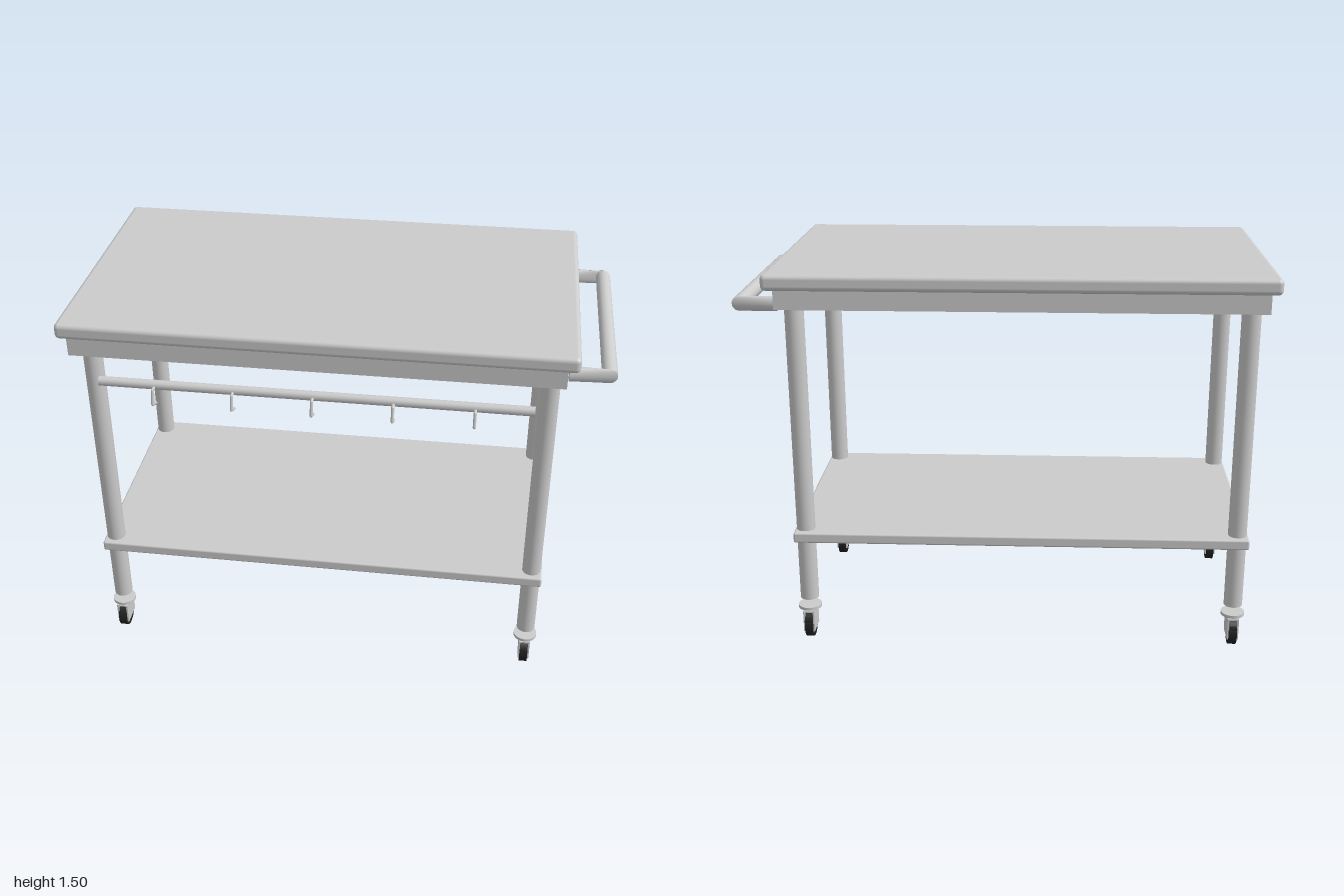
import * as THREE from 'three';
import { RoundedBoxGeometry } from 'three/addons/geometries/RoundedBoxGeometry.js';

const grey = new THREE.MeshStandardMaterial({ color: 0xcccccc });
const greyDouble = new THREE.MeshStandardMaterial({ color: 0xcccccc, side: THREE.DoubleSide });
const dark = new THREE.MeshStandardMaterial({ color: 0x222222 });

function add(parent, name, geometry, x, y, z, material = grey) {
  const mesh = new THREE.Mesh(geometry, material);
  mesh.name = name;
  mesh.position.set(x, y, z);
  parent.add(mesh);
  return mesh;
}

// Box given by its limits on each axis, optionally with rounded edges
function slab(parent, name, [x0, x1], [y0, y1], [z0, z1], radius = 0, material = grey) {
  const size = [x1 - x0, y1 - y0, z1 - z0];
  const geometry = radius ? new RoundedBoxGeometry(...size, 4, radius) : new THREE.BoxGeometry(...size);
  return add(parent, name, geometry, (x0 + x1) / 2, (y0 + y1) / 2, (z0 + z1) / 2, material);
}

// Round rod between two points, as a geometry along x when rotated
function rod(parent, name, a, b, radius, sides) {
  const from = new THREE.Vector3(...a), to = new THREE.Vector3(...b);
  const dir = to.clone().sub(from);
  const mid = from.clone().add(to).multiplyScalar(0.5);
  const mesh = add(parent, name, new THREE.CylinderGeometry(radius, radius, dir.length(), sides), mid.x, mid.y, mid.z);
  mesh.quaternion.setFromUnitVectors(new THREE.Vector3(0, 1, 0), dir.normalize());
  return mesh;
}

// Tube wall between two rings; each ring has a centre and a sideways direction
function ringLoft(a, b, radius, sides) {
  const positions = [], index = [];
  for (let i = 0; i <= sides; i++) {
    const t = (i / sides) * Math.PI * 2;
    for (const { c, side } of [a, b]) {
      positions.push(c[0] + side[0] * radius * Math.cos(t), c[1] + radius * Math.sin(t), c[2] + side[1] * radius * Math.cos(t));
    }
    if (i < sides) {
      const k = i * 2;
      index.push(k, k + 2, k + 1, k + 1, k + 2, k + 3);
    }
  }
  const geometry = new THREE.BufferGeometry();
  geometry.setAttribute('position', new THREE.Float32BufferAttribute(positions, 3));
  geometry.setIndex(index);
  geometry.computeVertexNormals();
  return geometry;
}

function createHandle() {
  const handle = new THREE.Group();
  handle.name = 'pushHandle';
  const y = 1.363, r = 0.028;
  const rings = [
    { c: [0.83, y, -0.397], side: [0, 1] },
    { c: [0.972, y, -0.402], side: [-1, 0] },
    { c: [0.972, y, 0.383], side: [-1, 0] },
    { c: [0.83, y, 0.382], side: [0, -1] },
  ];
  ['handleArmBack', 'handleGrip', 'handleArmFront'].forEach((name, i) =>
    add(handle, name, ringLoft(rings[i], rings[i + 1], r, 24), 0, 0, 0, greyDouble));
  // Closed arm ends
  for (const { c } of [rings[0], rings[3]]) {
    add(handle, 'handleEnd', new THREE.CircleGeometry(r, 24), ...c, greyDouble).rotation.y = -Math.PI / 2;
  }
  return handle;
}

function createCaster() {
  const caster = new THREE.Group();
  caster.name = 'caster';
  add(caster, 'casterDisc', new THREE.CylinderGeometry(0.046, 0.046, 0.012, 24), 0, 0.133, 0);
  add(caster, 'casterSwivel', new THREE.CylinderGeometry(0.02, 0.02, 0.012, 16), 0, 0.123, 0);
  slab(caster, 'forkTop', [-0.022, 0.022], [0.118, 0.124], [-0.046, 0.046]);
  for (const s of [-1, 1]) {
    add(caster, 'forkPlate', new THREE.BoxGeometry(0.006, 0.086, 0.092), s * 0.019, 0.079, 0);
  }
  add(caster, 'wheel', new THREE.CylinderGeometry(0.058, 0.058, 0.031, 28), 0, 0.058, 0, dark).rotation.z = Math.PI / 2;
  slab(caster, 'brakePedal', [-0.013, 0.013], [0.088, 0.094], [-0.071, -0.04], 0, dark);
  return caster;
}

export function createModel() {
  const cart = new THREE.Group();
  cart.name = 'kitchenCart';

  // Worktop, long rails under it and lower shelf
  slab(cart, 'worktop', [-1, 0.86], [1.44, 1.5], [-0.542, 0.522], 0.018);
  slab(cart, 'railFront', [-0.964, 0.82], [1.367, 1.442], [0.468, 0.5]);
  slab(cart, 'railBack', [-0.964, 0.82], [1.367, 1.442], [-0.515, -0.484]);
  slab(cart, 'lowerShelf', [-0.953, 0.809], [0.425, 0.467], [-0.464, 0.448], 0.008);

  // Four legs, each with a caster below
  for (const x of [-0.912, 0.768]) {
    for (const z of [-0.407, 0.392]) {
      add(cart, 'leg', new THREE.CylinderGeometry(0.036, 0.036, 1.207, 28), x, 0.7735, z);
      const caster = createCaster();
      caster.position.set(x, 0, z);
      cart.add(caster);
    }
  }

  cart.add(createHandle());

  // Utensil bar with bent hooks
  rod(cart, 'hookBar', [-0.863, 1.262, 0.49], [0.72, 1.262, 0.49], 0.018, 16);
  const bends = [[1.262, 0.49], [1.256, 0.523], [1.206, 0.536], [1.19, 0.499]];
  for (let i = 0; i < 5; i++) {
    const x = -0.655 + i * 0.2915;
    const hook = new THREE.Group();
    hook.name = 'hook';
    for (let k = 0; k < 3; k++) rod(hook, 'hookSegment', [x, ...bends[k]], [x, ...bends[k + 1]], 0.006, 10);
    for (let k = 1; k < 3; k++) add(hook, 'hookBend', new THREE.SphereGeometry(0.006, 10, 8), x, ...bends[k]);
    cart.add(hook);
  }
  return cart;
}
